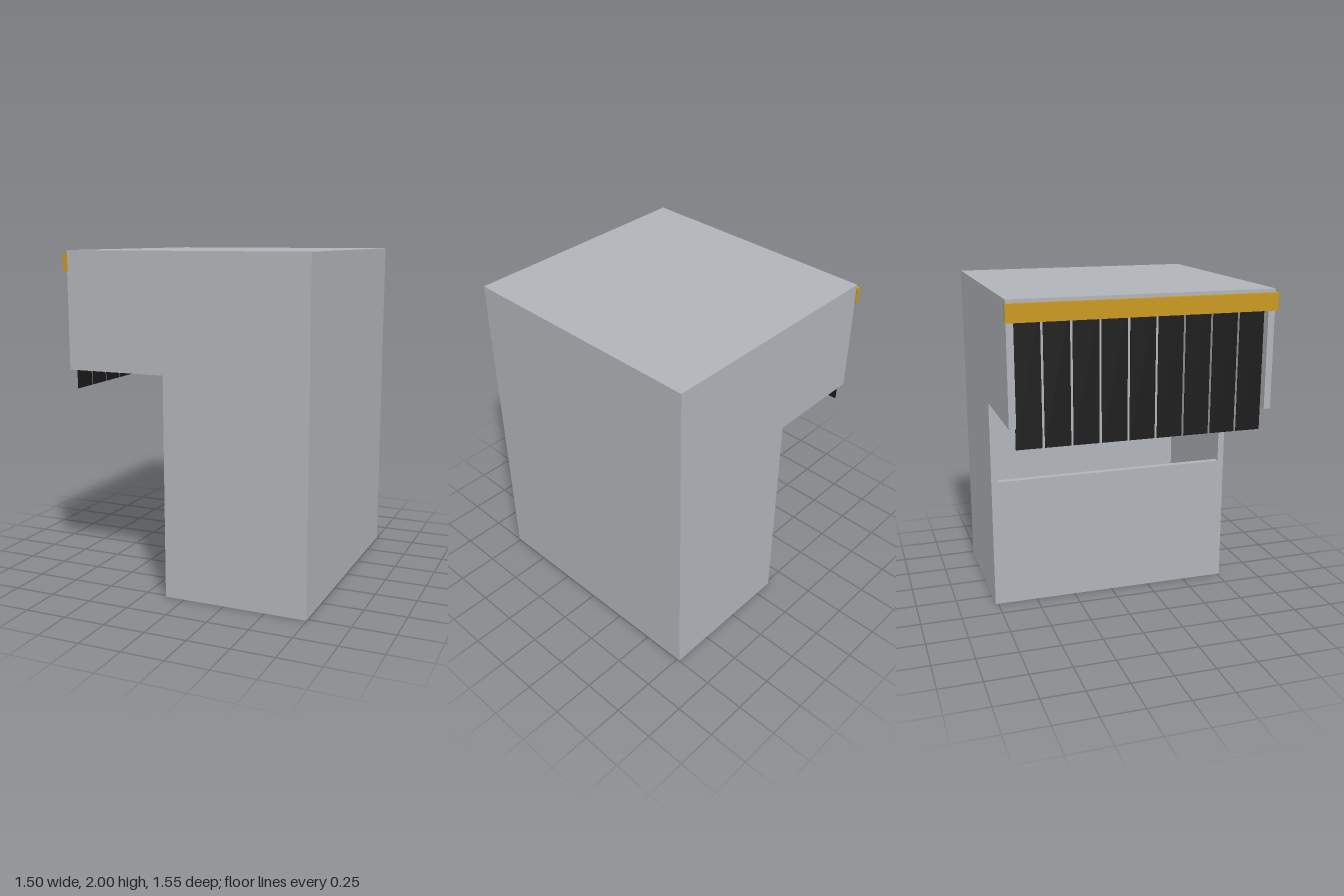
import * as THREE from 'three';

const mat = (name, color) => Object.assign(new THREE.MeshStandardMaterial({ color }), { name });

export function createModel() {
  const grey = mat('greyPanel', 0xb0b3b8);
  const amber = mat('amberRail', 0xc9981a);
  const black = mat('blackRubber', 0x1a1a1a);
  const model = new THREE.Group();
  model.name = 'curtainedHood';

  // Box given by its minimum and maximum along each axis
  const box = (name, material, [x0, x1], [y0, y1], [z0, z1], parent = model) => {
    const mesh = new THREE.Mesh(new THREE.BoxGeometry(x1 - x0, y1 - y0, z1 - z0), material);
    mesh.position.set((x0 + x1) / 2, (y0 + y1) / 2, (z0 + z1) / 2);
    mesh.name = name;
    parent.add(mesh);
  };

  const T = 0.04; // panel thickness
  const Z = 0.767; // half depth
  const TOP = 1.958; // underside of the lid
  const inner = [-Z + T, Z - T];

  // Lid over the whole body
  box('lid', grey, [-0.728, 0.747], [TOP, 2], [-Z, Z]);

  // Tall side panels and overhanging hood panels, front and back
  for (const [label, z] of [['front', [Z - T, Z]], ['back', [-Z, -Z + T]]]) {
    box(label + 'BodyPanel', grey, [-0.12, 0.747], [0, TOP], z);
    box(label + 'HoodPanel', grey, [-0.728, -0.12], [1.31, TOP], z);
  }

  // Full end wall, and the low wall beneath the opening
  box('endWall', grey, [0.747 - T, 0.747], [0, TOP], inner);
  box('lowWall', grey, [-0.12, -0.12 + T], [0, 0.81], inner);

  // Rail holding the strip curtain
  box('curtainRail', amber, [-0.75, -0.725], [1.88, 1.98], [-0.775, 0.775]);

  // Hanging curtain strips with narrow gaps
  const curtain = new THREE.Group();
  curtain.name = 'stripCurtain';
  model.add(curtain);
  for (let i = 0; i < 9; i++) {
    const z = -0.73 + i * 0.161;
    box('curtainStrip', black, [-0.72, -0.715], [1.19, TOP], [z, z + 0.147], curtain);
  }

  return model;
}
